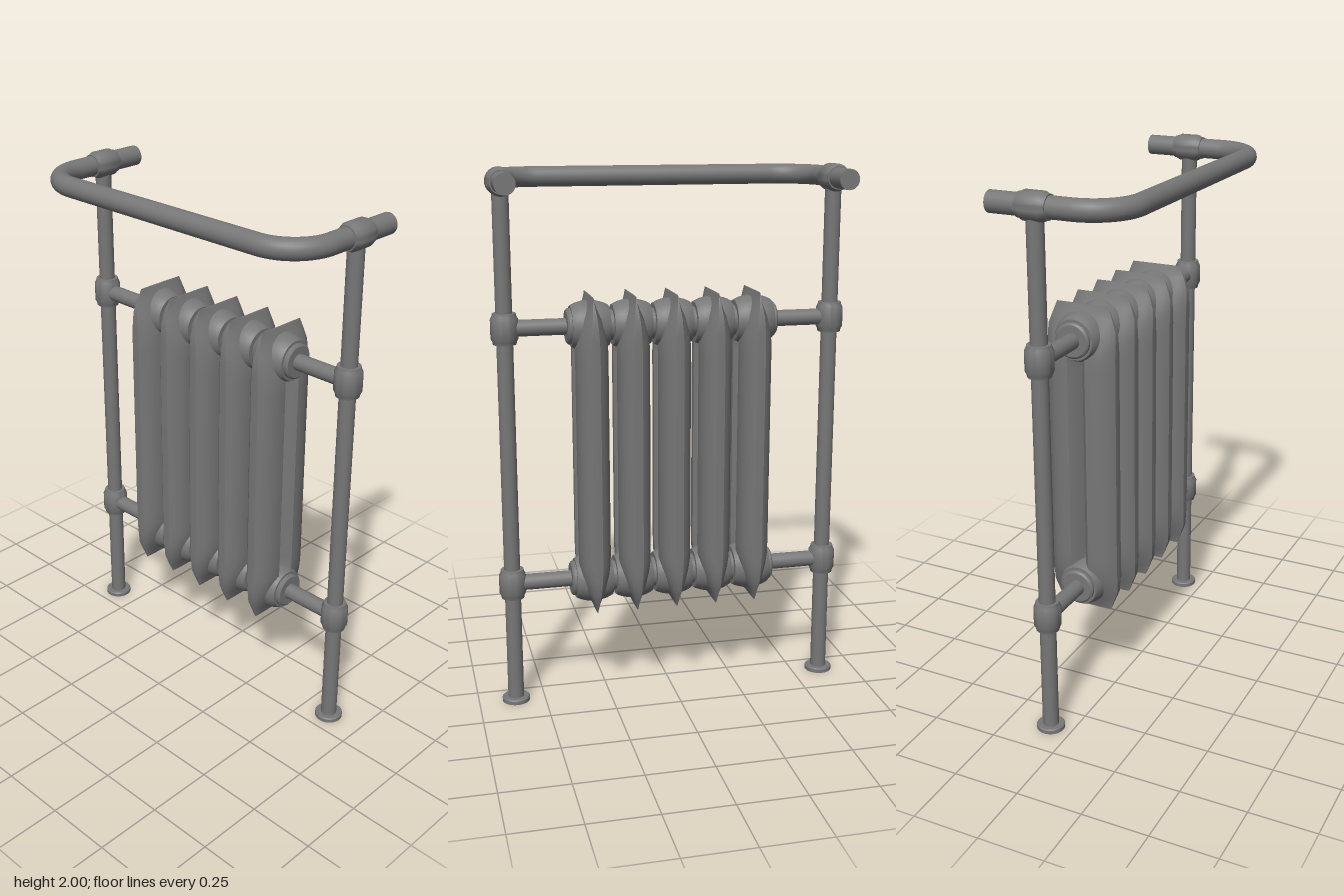
import * as THREE from 'three';
import { toCreasedNormals } from 'three/addons/utils/BufferGeometryUtils.js';

const Z = -0.085;                 // plane of posts and radiator
const POST_X = 0.61;
const PIPE_Y = [0.475, 1.437];    // lower and upper feed pipes
const MID_Y = 0.957;              // middle of the radiator
const RAIL_Y = 1.95;
const material = new THREE.MeshStandardMaterial({ color: 0x777777 });

// lathe from [radius, height] pairs, with crisp edges
function turned(profile, segments = 32) {
  const points = profile.map(([r, y]) => new THREE.Vector2(r, y));
  return toCreasedNormals(new THREE.LatheGeometry(points, segments), 0.6);
}

// one section: twin lens-shaped columns with a groove between, thinning to a blade at both ends
function columnGeometry() {
  // [offset from mid height, half depth, half width, groove depth]
  const ends = [[0.593, 0.1, 0.002, 0], [0.575, 0.108, 0.008, 0], [0.55, 0.118, 0.018, 0],
    [0.51, 0.133, 0.036, 0], [0.45, 0.135, 0.053, 0], [0.41, 0.135, 0.059, 0.85],
    [0.36, 0.135, 0.06, 0.85]];
  const rows = [...ends, ...ends.map(([y, ...rest]) => [-y, ...rest]).reverse()];
  const n = rows.length - 1;
  const geo = new THREE.CylinderGeometry(1, 1, n, 48, n);
  const p = geo.attributes.position;
  for (let i = 0; i < p.count; i++) {
    const [y, depth, width, groove] = rows[Math.round(n / 2 - p.getY(i))];
    const t = p.getZ(i);
    const x = p.getX(i);
    const side = Math.abs(x) < 1e-4 ? 0 : Math.sign(x);
    const lens = 0.25 + 0.75 * (1 - t ** 4);
    const dip = 1 - groove * Math.exp(-((t / 0.13) ** 2));
    p.setXYZ(i, side * width * lens * dip, y, t * depth);
  }
  geo.computeVertexNormals();
  return toCreasedNormals(geo, 0.6);
}

export function createModel() {
  const model = new THREE.Group();
  function add(name, geometry, x, y, z, parent = model) {
    const mesh = new THREE.Mesh(geometry, material);
    mesh.name = name;
    mesh.position.set(x, y, z);
    parent.add(mesh);
    return mesh;
  }

  // shared shapes
  const column = columnGeometry();
  const hub = turned([[0, -0.077], [0.056, -0.077], [0.056, -0.069], [0.074, -0.069],
    [0.079, -0.06], [0.085, -0.045], [0.091, -0.02], [0.091, 0.02], [0.085, 0.045],
    [0.079, 0.06], [0.074, 0.069], [0.056, 0.069], [0.056, 0.077], [0, 0.077]]);
  const fitting = turned([[0.02, -0.056], [0.042, -0.056], [0.044, -0.046], [0.05, -0.034],
    [0.05, 0.034], [0.044, 0.046], [0.042, 0.056], [0.02, 0.056]]);
  const nut = turned([[0, -0.02], [0.065, -0.02], [0.065, 0.014], [0.058, 0.02], [0, 0.02]]);
  const foot = turned([[0, 0.007], [0.042, 0.007], [0.042, 0], [0.052, 0], [0.052, 0.014],
    [0.048, 0.018], [0, 0.018]]);
  const post = new THREE.CylinderGeometry(0.03, 0.03, RAIL_Y, 24);
  const pipe = new THREE.CylinderGeometry(0.03, 0.03, 0.25, 24);

  // radiator sections with a hub at each end
  for (let i = -2; i <= 2; i++) {
    const section = new THREE.Group();
    section.name = 'radiatorSection';
    section.position.set(i * 0.1525, MID_Y, Z);
    model.add(section);
    add('column', column, 0, 0, 0, section);
    for (const y of PIPE_Y) add('hub', hub, 0, y - MID_Y, 0, section).rotation.z = Math.PI / 2;
  }

  // posts, feet, fittings and feed pipes on both sides
  for (const s of [-1, 1]) {
    const side = s > 0 ? 'left' : 'right';
    add(side + 'Post', post, s * POST_X, RAIL_Y / 2, Z);
    add(side + 'Foot', foot, s * POST_X, 0, Z);
    add(side + 'RailFitting', fitting, s * POST_X, RAIL_Y, Z).rotation.x = Math.PI / 2;
    for (const y of PIPE_Y) {
      add(side + 'PipeFitting', fitting, s * POST_X, y, Z);
      add(side + 'Pipe', pipe, s * 0.485, y, Z).rotation.z = Math.PI / 2;
      add(side + 'EndNut', nut, s * 0.37, y, Z).rotation.z = -s * Math.PI / 2;
    }
  }

  // towel rail: straight runs joined by rounded corners
  const R = 0.0375, BACK = -0.25, FRONT = 0.208, BEND = 0.16;
  const v = (x, z) => new THREE.Vector3(x, RAIL_Y, z);
  const path = new THREE.CurvePath();
  const k = BEND * 0.448;         // handle offset for a circular bend
  path.add(new THREE.LineCurve3(v(-POST_X, BACK), v(-POST_X, FRONT - BEND)));
  path.add(new THREE.CubicBezierCurve3(v(-POST_X, FRONT - BEND), v(-POST_X, FRONT - k),
    v(-POST_X + k, FRONT), v(-POST_X + BEND, FRONT)));
  path.add(new THREE.LineCurve3(v(-POST_X + BEND, FRONT), v(POST_X - BEND, FRONT)));
  path.add(new THREE.CubicBezierCurve3(v(POST_X - BEND, FRONT), v(POST_X - k, FRONT),
    v(POST_X, FRONT - k), v(POST_X, FRONT - BEND)));
  path.add(new THREE.LineCurve3(v(POST_X, FRONT - BEND), v(POST_X, BACK)));
  add('towelRail', new THREE.TubeGeometry(path, 120, R, 24), 0, 0, 0);
  for (const s of [-1, 1]) {
    add('railEndCap', new THREE.CircleGeometry(R, 24), s * POST_X, RAIL_Y, BACK).rotation.y = Math.PI;
  }

  return model;
}
